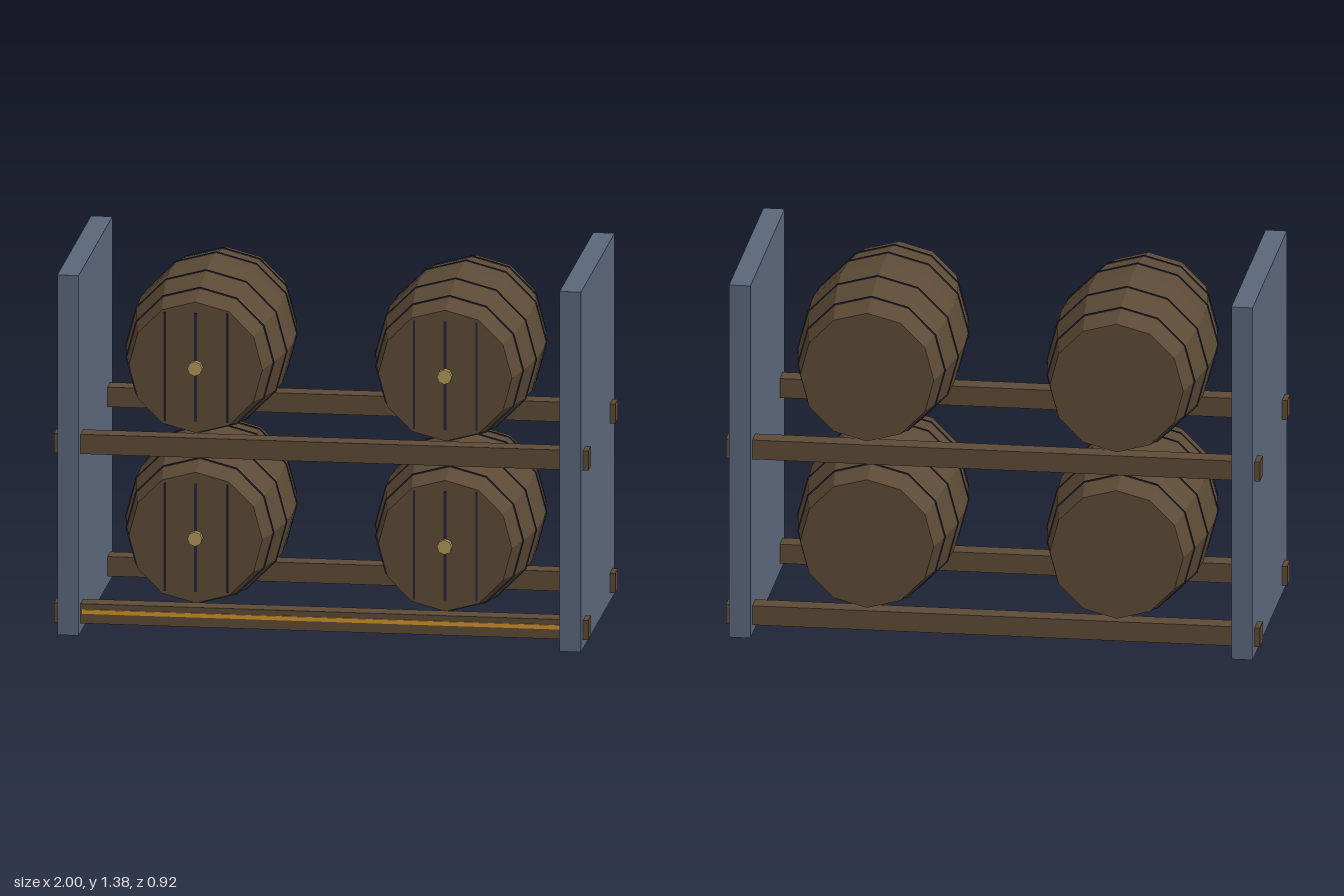
import * as THREE from 'three';

const material = (name, color, flatShading = false) => {
  const m = new THREE.MeshStandardMaterial({ color });
  m.name = name;
  m.flatShading = flatShading;
  return m;
};

export function createModel() {
  const wood = material('wood', 0x5c4a36, true);
  const slate = material('slate', 0x5a667a, true);
  const iron = material('iron', 0x23263a, true);
  const brass = material('brass', 0xb0965a, true);
  const amber = material('amber', 0xd0922c, true);

  const model = new THREE.Group();
  model.name = 'barrelRack';

  const add = (parent, name, geometry, mat, x = 0, y = 0, z = 0) => {
    const mesh = new THREE.Mesh(geometry, mat);
    mesh.name = name;
    mesh.position.set(x, y, z);
    parent.add(mesh);
    return mesh;
  };

  // Side panels
  for (const side of [-1, 1]) {
    add(model, side > 0 ? 'leftPanel' : 'rightPanel',
      new THREE.BoxGeometry(0.08, 1.375, 0.92), slate, side * 0.94, 0.6875, 0);
  }

  // Cross beams running through both panels
  const beam = new THREE.BoxGeometry(2, 0.075, 0.077);
  for (const y of [0.071, 0.718]) {
    for (const z of [-0.367, 0.367]) {
      add(model, z > 0 ? 'frontBeam' : 'backBeam', beam, wood, 0, y, z);
    }
  }

  // Bright strip on the lowest front beam
  add(model, 'beamStrip', new THREE.BoxGeometry(1.79, 0.016, 0.006), amber, 0, 0.079, 0.407);

  // Barrel: a bulging twelve-sided body lying along z
  const half = 0.43;
  const radiusAt = (z) => 0.25 + 0.057 * Math.cos((z / half) * Math.PI / 2);
  const profile = [new THREE.Vector2(0, -half)];
  for (let i = 0; i <= 6; i++) {
    const z = -half + (i / 6) * half * 2;
    profile.push(new THREE.Vector2(radiusAt(z), z));
  }
  profile.push(new THREE.Vector2(0, half));
  const bodyGeometry = new THREE.LatheGeometry(profile, 12).rotateX(Math.PI / 2);

  const makeBarrel = () => {
    const barrel = new THREE.Group();
    barrel.name = 'barrel';
    add(barrel, 'barrelBody', bodyGeometry, wood);

    // Thin iron hoops
    for (const z of [-0.31, -0.14, 0.14, 0.31]) {
      const r = radiusAt(z) + 0.004;
      add(barrel, 'hoop', new THREE.CylinderGeometry(r, r, 0.005, 12).rotateX(Math.PI / 2), iron, 0, 0, z);
    }

    // Gaps between the planks of the front lid
    for (const x of [-0.117, 0, 0.117]) {
      add(barrel, 'plankSeam', new THREE.BoxGeometry(x === 0 ? 0.011 : 0.007, 0.415, 0.004), iron, x, 0, half + 0.001);
    }

    // Brass bung
    add(barrel, 'bung', new THREE.CylinderGeometry(0.028, 0.028, 0.026, 8).rotateX(Math.PI / 2),
      brass, 0, 0, half + 0.011);
    return barrel;
  };

  for (const y of [0.38, 1.03]) {
    for (const x of [-0.467, 0.467]) {
      const barrel = makeBarrel();
      barrel.position.set(x, y, -0.005);
      model.add(barrel);
    }
  }

  return model;
}
